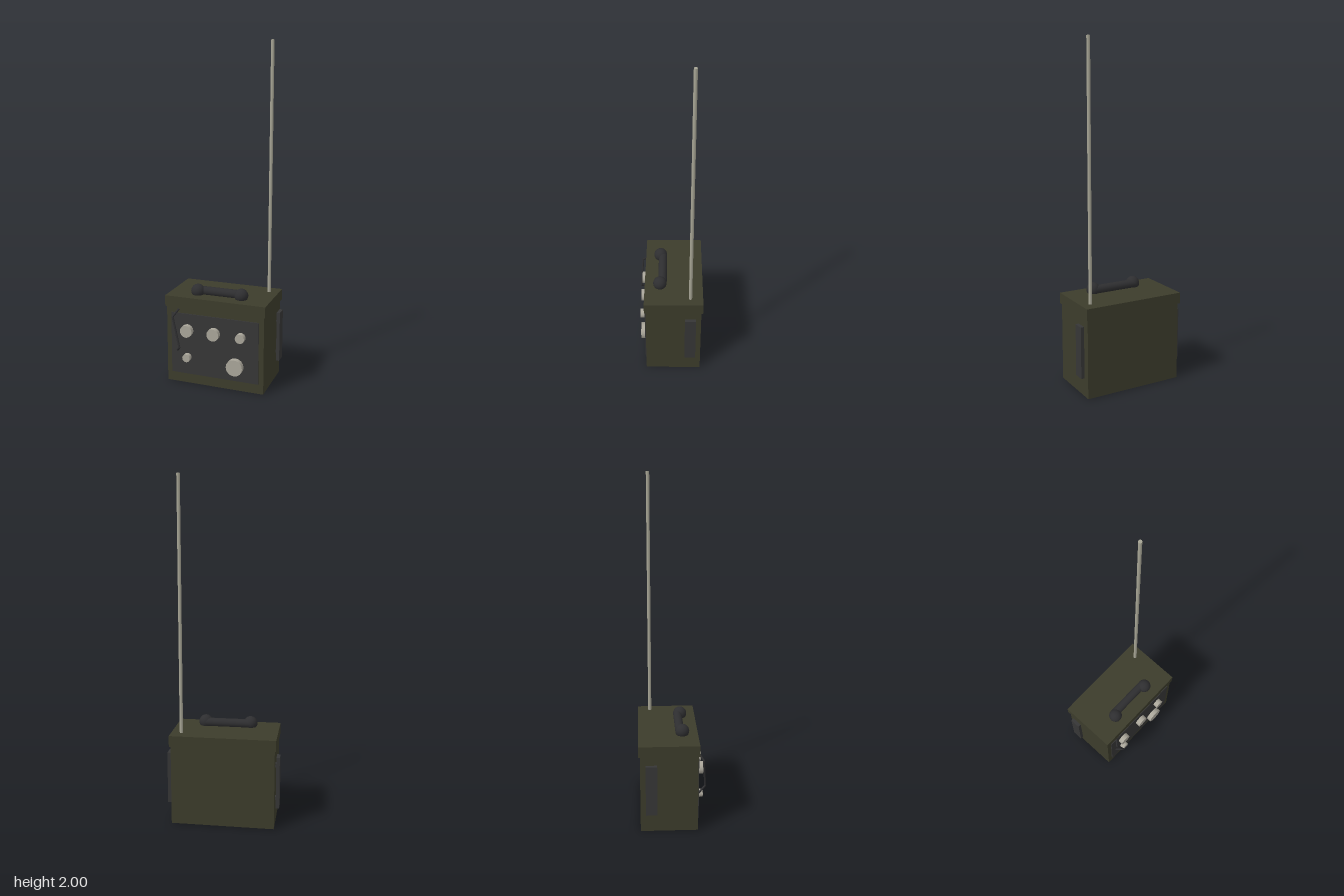
import * as THREE from 'three';

const mat = (name, color, flatShading = false) => {
  const m = new THREE.MeshStandardMaterial({ color, flatShading });
  m.name = name;
  return m;
};

export function createModel() {
  const model = new THREE.Group();
  model.name = 'fieldRadio';
  const olive = mat('olive paint', 0x3c3c2b);
  const charcoal = mat('charcoal panel', 0x363636);
  const black = mat('black plastic', 0x2e2e30);
  const knobGrey = mat('knob grey', 0xaaa69a);
  const metal = mat('antenna metal', 0xa6a494);

  const add = (name, geometry, material, x, y, z) => {
    const mesh = new THREE.Mesh(geometry, material);
    mesh.name = name;
    mesh.position.set(x, y, z);
    model.add(mesh);
    return mesh;
  };
  // Box given by its minimum and maximum corners
  const box = (name, material, a, b) => add(name,
    new THREE.BoxGeometry(b[0] - a[0], b[1] - a[1], b[2] - a[2]), material,
    (a[0] + b[0]) / 2, (a[1] + b[1]) / 2, (a[2] + b[2]) / 2);

  // Case, overhanging lid and control panel
  box('body', olive, [-0.3, 0, -0.19], [0.3, 0.48, 0.142]);
  box('lid', olive, [-0.308, 0.47, -0.2], [0.308, 0.535, 0.15]);
  box('controlPanel', charcoal, [-0.27, 0.06, 0.13], [0.27, 0.435, 0.148]);

  // Carrying grips on both sides, held by short standoffs
  for (const [side, s] of [['left', 1], ['right', -1]]) {
    const grip = add(side + 'Grip', new THREE.BoxGeometry(0.02, 0.305, 0.066), charcoal, s * 0.317, 0.268, -0.126);
    for (const y of [-0.1, 0.1]) {
      const standoff = new THREE.Mesh(new THREE.BoxGeometry(0.014, 0.02, 0.03), charcoal);
      standoff.name = 'gripStandoff';
      standoff.position.set(-s * 0.012, y, 0);
      grip.add(standoff);
    }
  }

  // Knobs and speaker dial: x, y, radius
  const knobs = [[-0.167, 0.335, 0.037], [0, 0.335, 0.037], [0.165, 0.335, 0.028],
    [-0.167, 0.168, 0.024], [0.132, 0.152, 0.05]];
  knobs.forEach(([x, y, r], i) => {
    add('knob' + (i + 1), new THREE.CylinderGeometry(r, r, 0.04, 16), knobGrey, x, y, 0.158)
      .rotation.x = Math.PI / 2;
  });

  // Handset resting on the lid
  add('handsetBar', new THREE.CylinderGeometry(0.026, 0.026, 0.27, 16), black, 0, 0.555, 0.043)
    .rotation.z = Math.PI / 2;
  for (const s of [-1, 1]) {
    add(s > 0 ? 'earpiece' : 'mouthpiece', new THREE.SphereGeometry(0.041, 16, 12), black, s * 0.135, 0.555, 0.058);
  }

  // Bent cable on the front, made of straight lengths with round joints
  const path = [[-0.222, 0.46, 0.145], [-0.25, 0.418, 0.176], [-0.203, 0.235, 0.19], [-0.235, 0.2, 0.145]]
    .map((p) => new THREE.Vector3(...p));
  const up = new THREE.Vector3(0, 1, 0);
  for (let i = 0; i < path.length - 1; i++) {
    const dir = path[i + 1].clone().sub(path[i]);
    const mid = path[i].clone().addScaledVector(dir, 0.5);
    add('cable', new THREE.CylinderGeometry(0.006, 0.006, dir.length(), 8), black, mid.x, mid.y, mid.z)
      .quaternion.setFromUnitVectors(up, dir.normalize());
    if (i > 0) add('cableJoint', new THREE.SphereGeometry(0.006, 8, 6), black, path[i].x, path[i].y, path[i].z);
  }

  // Whip antenna
  add('antenna', new THREE.CylinderGeometry(0.01, 0.01, 1.48, 12), metal, 0.249, 1.26, -0.125);

  return model;
}
